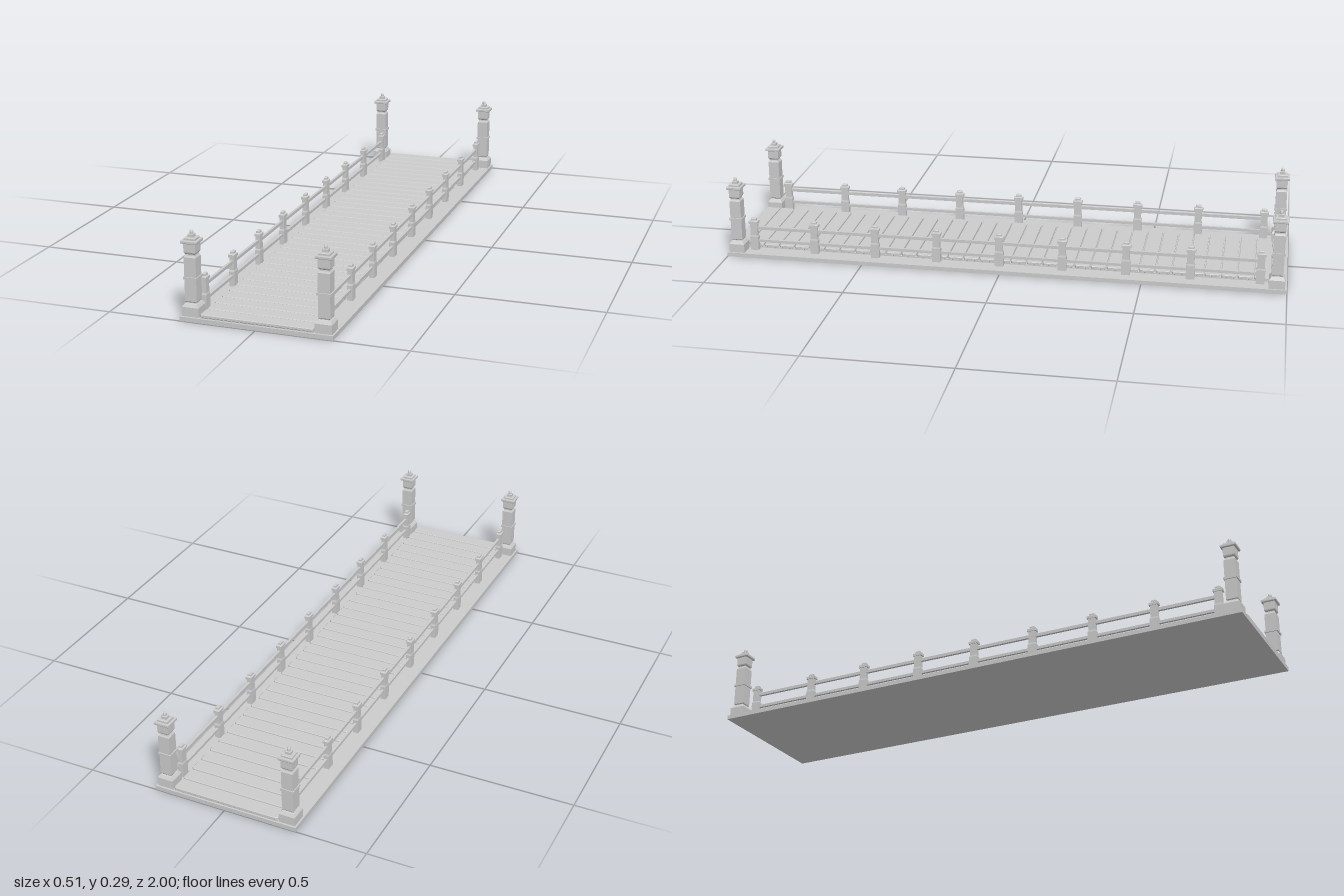
import * as THREE from 'three';

const material = new THREE.MeshStandardMaterial({ color: 0xcccccc, flatShading: true });

function add(parent, name, geometry, x = 0, y = 0, z = 0) {
  const mesh = new THREE.Mesh(geometry, material);
  mesh.name = name;
  mesh.position.set(x, y, z);
  parent.add(mesh);
  return mesh;
}

// Square column turned from [half width, height] pairs
function squareColumn(profile, depthScale = 1) {
  const points = profile.map(([r, y]) => new THREE.Vector2(r * Math.SQRT2, y));
  const g = new THREE.LatheGeometry(points, 4).rotateY(Math.PI / 4).toNonIndexed();
  g.scale(1, 1, depthScale);
  g.computeVertexNormals();
  return g;
}

// Plank with clipped corners and a small bevel all round
function plankGeometry(halfLength, halfWidth, height, clip, bevel) {
  const a = halfLength - bevel, b = halfWidth - bevel;
  const shape = new THREE.Shape([
    [-a + clip, -b], [a - clip, -b], [a, -b + clip], [a, b - clip],
    [a - clip, b], [-a + clip, b], [-a, b - clip], [-a, -b + clip],
  ].map(([x, y]) => new THREE.Vector2(x, y)));
  const g = new THREE.ExtrudeGeometry(shape, {
    depth: height - 2 * bevel, bevelEnabled: true, bevelSegments: 1,
    bevelSize: bevel, bevelThickness: bevel,
  });
  return g.translate(0, 0, bevel).rotateX(-Math.PI / 2);
}

export function createModel() {
  const model = new THREE.Group();
  model.name = 'footbridge';

  // Base slab and the bed under the planks
  add(model, 'baseSlab', new THREE.BoxGeometry(0.51, 0.015, 2), 0, 0.0075, 0);
  add(model, 'plankBed', new THREE.BoxGeometry(0.376, 0.004, 1.988), 0, 0.017, 0);

  // Deck planks
  const deck = new THREE.Group();
  deck.name = 'deck';
  model.add(deck);
  const count = 35, pitch = 1.996 / count;
  const plank = plankGeometry(0.188, pitch / 2 - 0.002, 0.011, 0.004, 0.002);
  for (let i = 0; i < count; i++) {
    add(deck, 'plank', plank, 0, 0.0175, (i - (count - 1) / 2) * pitch);
  }

  // Corner pillar parts
  const pillarBody = squareColumn([
    [0, 0.015], [0.028, 0.015], [0.028, 0.046], [0.021, 0.056], [0.018, 0.058],
    [0.018, 0.06], [0.02, 0.063], [0.02, 0.208], [0.016, 0.214], [0.0155, 0.218],
    [0.019, 0.222], [0.02, 0.225], [0.02, 0.255], [0, 0.255],
  ]);
  const pillarCap = squareColumn([
    [0, 0.254], [0.026, 0.254], [0.027, 0.256], [0.027, 0.262], [0.026, 0.264],
    [0.019, 0.264], [0.019, 0.27], [0.017, 0.272], [0.0095, 0.272],
    [0.0095, 0.281], [0.008, 0.282], [0, 0.282],
  ]);
  const pillarBand = new THREE.BoxGeometry(0.047, 0.008, 0.047);
  const finial = new THREE.LatheGeometry([
    [0.0065, 0], [0.0065, 0.006], [0.0055, 0.01], [0.003, 0.0125], [0, 0.0135],
  ].map(([r, y]) => new THREE.Vector2(r, y)), 8);

  // Railing post parts
  const postBody = squareColumn([
    [0, 0.015], [0.0095, 0.015], [0.0095, 0.066], [0.008, 0.072],
    [0.008, 0.117], [0, 0.117],
  ], 1.6);
  const postCap = squareColumn([
    [0, 0.116], [0.0105, 0.116], [0.0105, 0.125], [0.006, 0.128],
    [0.006, 0.134], [0.004, 0.137], [0, 0.137],
  ], 1.6);
  const postZ = [0.91, 0.685, 0.46, 0.235, 0.008, -0.217, -0.442, -0.667, -0.908];

  for (const side of [-1, 1]) {
    // Corner pillars
    for (const end of [-1, 1]) {
      const pillar = new THREE.Group();
      pillar.name = 'cornerPillar';
      pillar.position.set(side * 0.221, 0, end * 0.965);
      add(pillar, 'pillarBody', pillarBody);
      add(pillar, 'pillarBand', pillarBand, 0, 0.14, 0);
      add(pillar, 'pillarCap', pillarCap);
      add(pillar, 'finial', finial, 0, 0.2815, 0);
      model.add(pillar);
    }

    // Railing with posts and two rails
    const railing = new THREE.Group();
    railing.name = side > 0 ? 'leftRailing' : 'rightRailing';
    railing.position.x = side * 0.205;
    for (const z of postZ) {
      add(railing, 'railingPost', postBody, 0, 0, z);
      add(railing, 'railingPostCap', postCap, 0, 0, z);
    }
    add(railing, 'upperRail', new THREE.BoxGeometry(0.009, 0.011, 1.82), 0, 0.099, 0);
    add(railing, 'lowerRail', new THREE.BoxGeometry(0.009, 0.01, 1.82), 0, 0.05, 0);
    model.add(railing);
  }

  return model;
}
